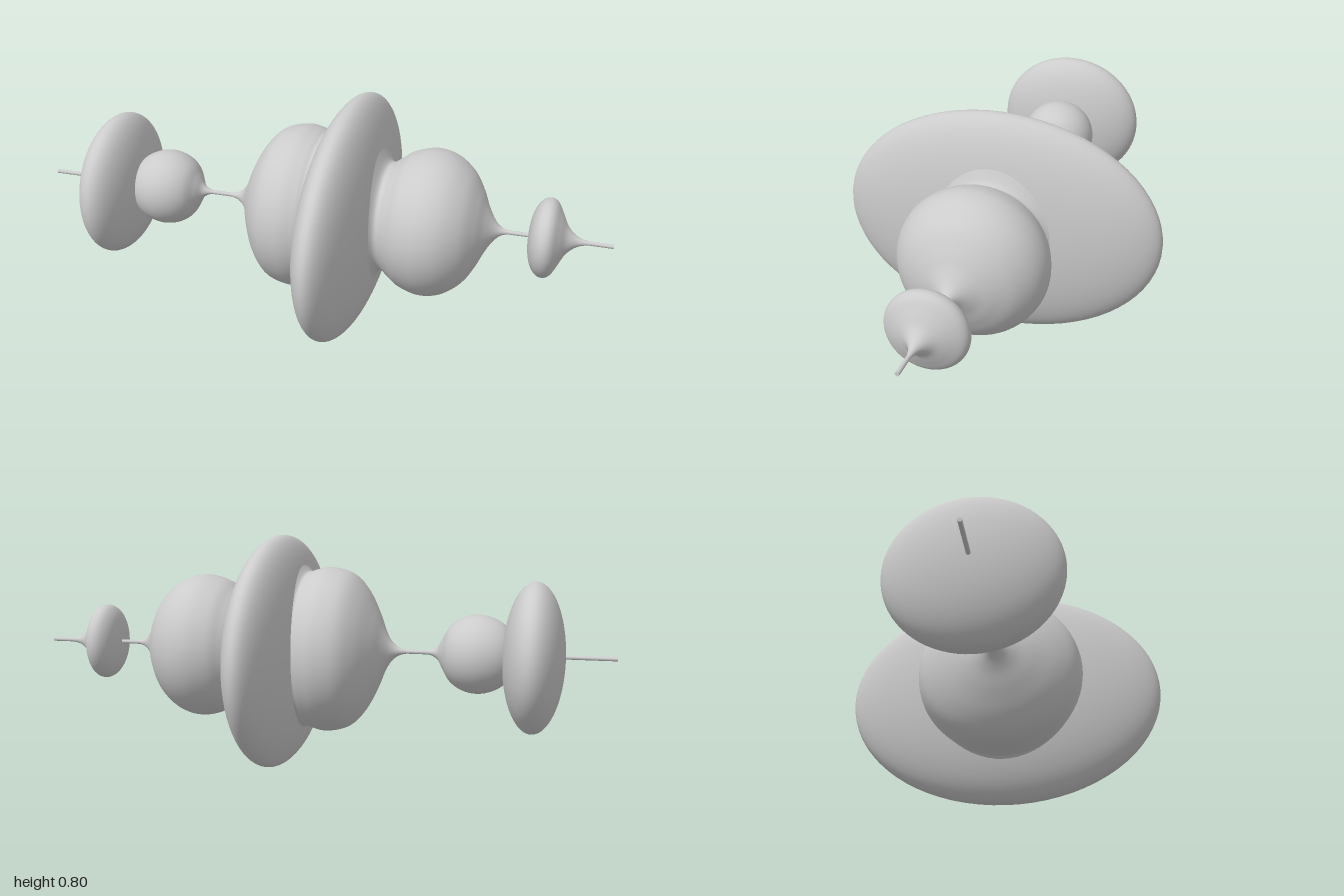
import * as THREE from 'three';

const AXIS_Y = 0.408;

export function createModel() {
  const group = new THREE.Group();
  const material = new THREE.MeshStandardMaterial({ color: 0xcccccc });

  const add = (name, geometry, y = AXIS_Y) => {
    const mesh = new THREE.Mesh(geometry, material);
    mesh.name = name;
    mesh.position.y = y;
    group.add(mesh);
  };

  // Smooth bead turned about the x axis from [x, radius] points
  const turned = (name, profile, depth = 1) => {
    const curve = new THREE.SplineCurve(profile.map(([x, r]) => new THREE.Vector2(r, x)));
    const geometry = new THREE.LatheGeometry(curve.getPoints(72), 64);
    geometry.rotateZ(-Math.PI / 2).scale(1, 1, depth);
    add(name, geometry);
  };

  // Ellipsoid with its poles on the x axis
  const ellipsoid = (name, x, y, a, b, c) => {
    const geometry = new THREE.SphereGeometry(1, 72, 48);
    geometry.rotateZ(-Math.PI / 2).scale(a, b, c).translate(x, 0, 0);
    add(name, geometry, y);
  };

  // Thin rod through everything
  add('rod', new THREE.CylinderGeometry(0.007, 0.007, 2, 16).rotateZ(Math.PI / 2));

  // Flattened discs
  ellipsoid('endDisc', -0.734, 0.402, 0.102, 0.251, 0.267);
  ellipsoid('centralDisc', 0.128, 0.399, 0.12, 0.398, 0.546);

  // Small ball beside the end disc, drawn out into the rod
  turned('smallBall', [
    [-0.682, 0], [-0.672, 0.05], [-0.643, 0.095], [-0.6, 0.122], [-0.55, 0.132],
    [-0.5, 0.122], [-0.46, 0.095], [-0.435, 0.055], [-0.417, 0.024], [-0.395, 0.01], [-0.37, 0.005],
  ]);

  // Large bulb, tapering to the rod and filleted into the central disc
  turned('largeBulb', [
    [-0.32, 0.005], [-0.285, 0.014], [-0.258, 0.036], [-0.235, 0.075], [-0.21, 0.135], [-0.17, 0.21],
    [-0.12, 0.262], [-0.05, 0.281], [0, 0.273], [0.025, 0.265], [0.04, 0.276], [0.056, 0.3],
  ]);

  // Second bulb on the other side of the central disc
  turned('secondBulb', [
    [0.222, 0.235], [0.243, 0.195], [0.262, 0.186], [0.29, 0.204], [0.33, 0.231], [0.4, 0.249],
    [0.47, 0.234], [0.53, 0.188], [0.567, 0.13], [0.59, 0.08], [0.615, 0.038], [0.64, 0.014], [0.67, 0.005],
  ]);

  // Small end bead with a long tapering tip
  turned('endBead', [
    [0.729, 0], [0.732, 0.05], [0.744, 0.095], [0.765, 0.124], [0.79, 0.132], [0.812, 0.12],
    [0.832, 0.085], [0.852, 0.047], [0.878, 0.022], [0.905, 0.01], [0.94, 0.005],
  ]);

  return group;
}
